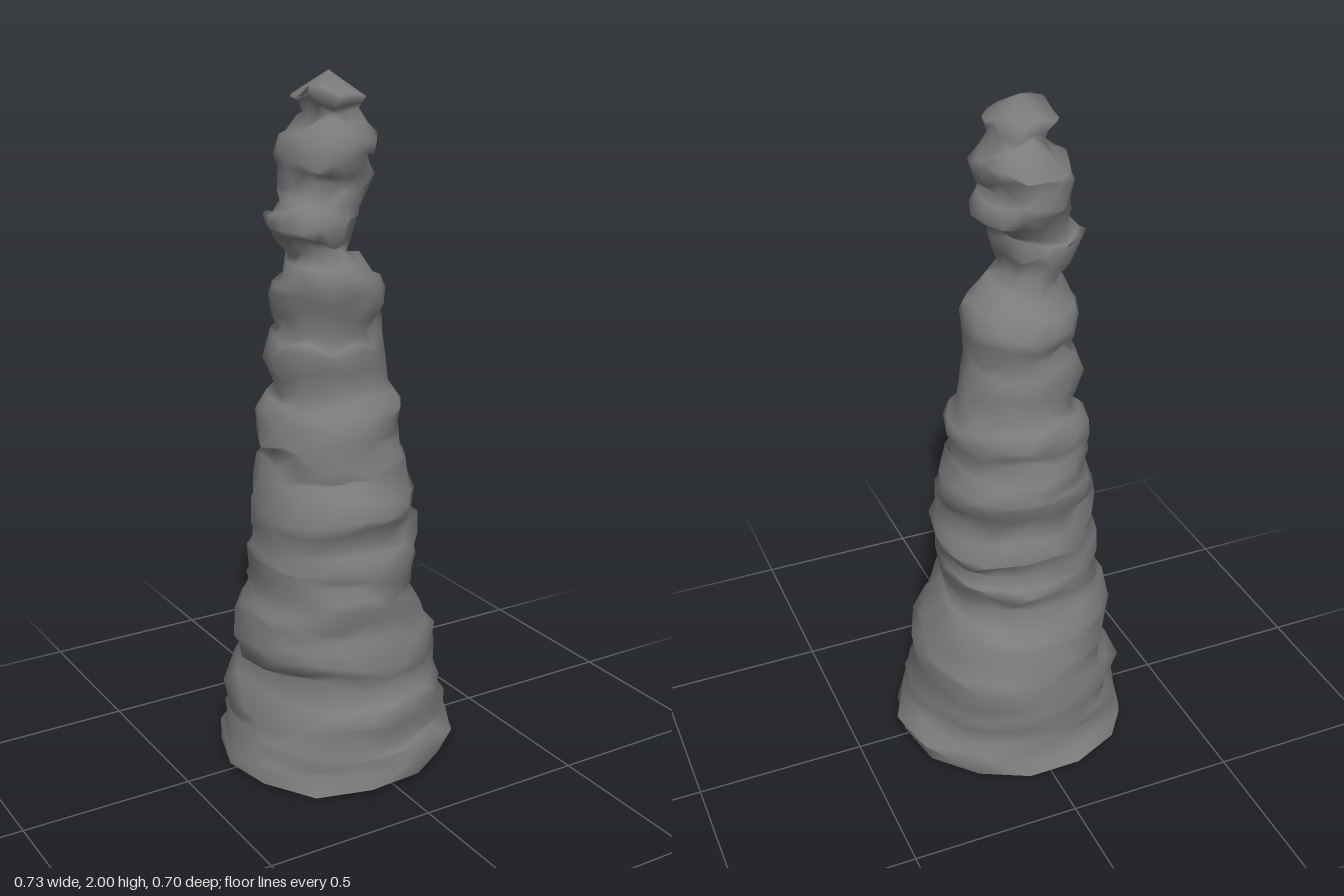
import * as THREE from 'three';

const SIDES = 14;

// Main layers from the ground up: height, min x, max x, min z, max z
const COLUMN = [
  [0.02, -0.36, 0.35, -0.35, 0.345],
  [0.08, -0.35, 0.36, -0.33, 0.34],
  [0.14, -0.32, 0.32, -0.32, 0.33],
  [0.21, -0.33, 0.31, -0.32, 0.33],
  [0.30, -0.28, 0.31, -0.32, 0.28],
  [0.37, -0.31, 0.29, -0.29, 0.30],
  [0.46, -0.31, 0.24, -0.28, 0.27],
  [0.53, -0.27, 0.19, -0.23, 0.28],
  [0.60, -0.27, 0.22, -0.24, 0.26],
  [0.65, -0.27, 0.22, -0.21, 0.27],
  [0.72, -0.26, 0.23, -0.23, 0.24],
  [0.80, -0.26, 0.20, -0.20, 0.27],
  [0.88, -0.24, 0.22, -0.23, 0.21],
  [0.94, -0.22, 0.19, -0.23, 0.22],
  [1.00, -0.24, 0.18, -0.20, 0.20],
  [1.07, -0.22, 0.20, -0.21, 0.19],
  [1.13, -0.18, 0.16, -0.16, 0.14],
  [1.24, -0.21, 0.14, -0.16, 0.16],
  [1.30, -0.17, 0.13, -0.14, 0.13],
  [1.39, -0.20, 0.14, -0.16, 0.16],
  [1.46, -0.18, 0.09, -0.10, 0.17],
  [1.52, -0.14, 0.00, -0.08, 0.12],
];
const TIP = [
  [1.60, -0.23, 0.04, -0.10, 0.15],
  [1.65, -0.18, 0.05, -0.08, 0.13],
  [1.71, -0.17, 0.11, -0.13, 0.12],
  [1.77, -0.18, 0.06, -0.13, 0.16],
  [1.83, -0.17, 0.11, -0.13, 0.15],
  [1.89, -0.10, 0.05, -0.06, 0.10],
  [1.95, -0.15, 0.05, -0.06, 0.15],
];

// Small seeded generator, -1 to 1
function seeded(seed) {
  let s = seed;
  return () => {
    s = (s * 16807) % 2147483647;
    return (s / 2147483647) * 2 - 1;
  };
}

// Adds a thinner layer halfway between each pair of main layers
function withFolds(layers) {
  return layers.flatMap((layer, i) => {
    if (i === layers.length - 1) return [layer];
    return [layer, layer.map((v, k) => (v + layers[i + 1][k]) / 2)];
  });
}

// A lopsided, wavy ring that follows the four given limits
function makeRing([y, x0, x1, z0, z1], index, rand) {
  const ring = [];
  const turn = (index % 2) * (Math.PI / SIDES);
  const wavePhase = rand() * Math.PI;
  for (let i = 0; i < SIDES; i++) {
    const a = (i / SIDES) * Math.PI * 2 + turn;
    const r = 0.985 + rand() * 0.05;
    const wave = 0.012 * Math.sin(2 * a + wavePhase) + rand() * 0.014;
    ring.push(new THREE.Vector3(
      (x0 + x1) / 2 + (x1 - x0) / 2 * Math.cos(a) * r,
      y + (index === 0 ? rand() * 0.006 : wave),
      (z0 + z1) / 2 + (z1 - z0) / 2 * Math.sin(a) * r));
  }
  return ring;
}

export function createModel() {
  const group = new THREE.Group();
  group.name = 'stalagmite';
  const rand = seeded(4711);

  const rings = withFolds([...COLUMN, ...TIP]).map((layer, i) => makeRing(layer, i, rand));
  rings[0][5].y = 0; // lowest bump of the ragged foot

  // Rippled hollow column, open below and closed by the tip point
  const points = rings.flat();
  const indices = [];
  for (let k = 0; k < rings.length - 1; k++) {
    for (let i = 0; i < SIDES; i++) {
      const j = (i + 1) % SIDES;
      const a = k * SIDES + i, b = k * SIDES + j;
      const c = a + SIDES, d = b + SIDES;
      // Diagonals follow the half-step twist between layers
      if (k % 2 === 0) indices.push(a, c, b, b, c, d);
      else indices.push(a, d, b, a, c, d);
    }
  }
  const apex = points.length;
  points.push(new THREE.Vector3(-0.04, 2, 0.03));
  const last = (rings.length - 1) * SIDES;
  for (let i = 0; i < SIDES; i++) indices.push(last + i, apex, last + (i + 1) % SIDES);

  const geometry = new THREE.BufferGeometry().setFromPoints(points);
  geometry.setIndex(indices);
  geometry.computeVertexNormals();
  const material = new THREE.MeshStandardMaterial({ color: 0x7c7c7c, side: THREE.DoubleSide });
  const column = new THREE.Mesh(geometry, material);
  column.name = 'rockColumn';
  group.add(column);

  return group;
}
